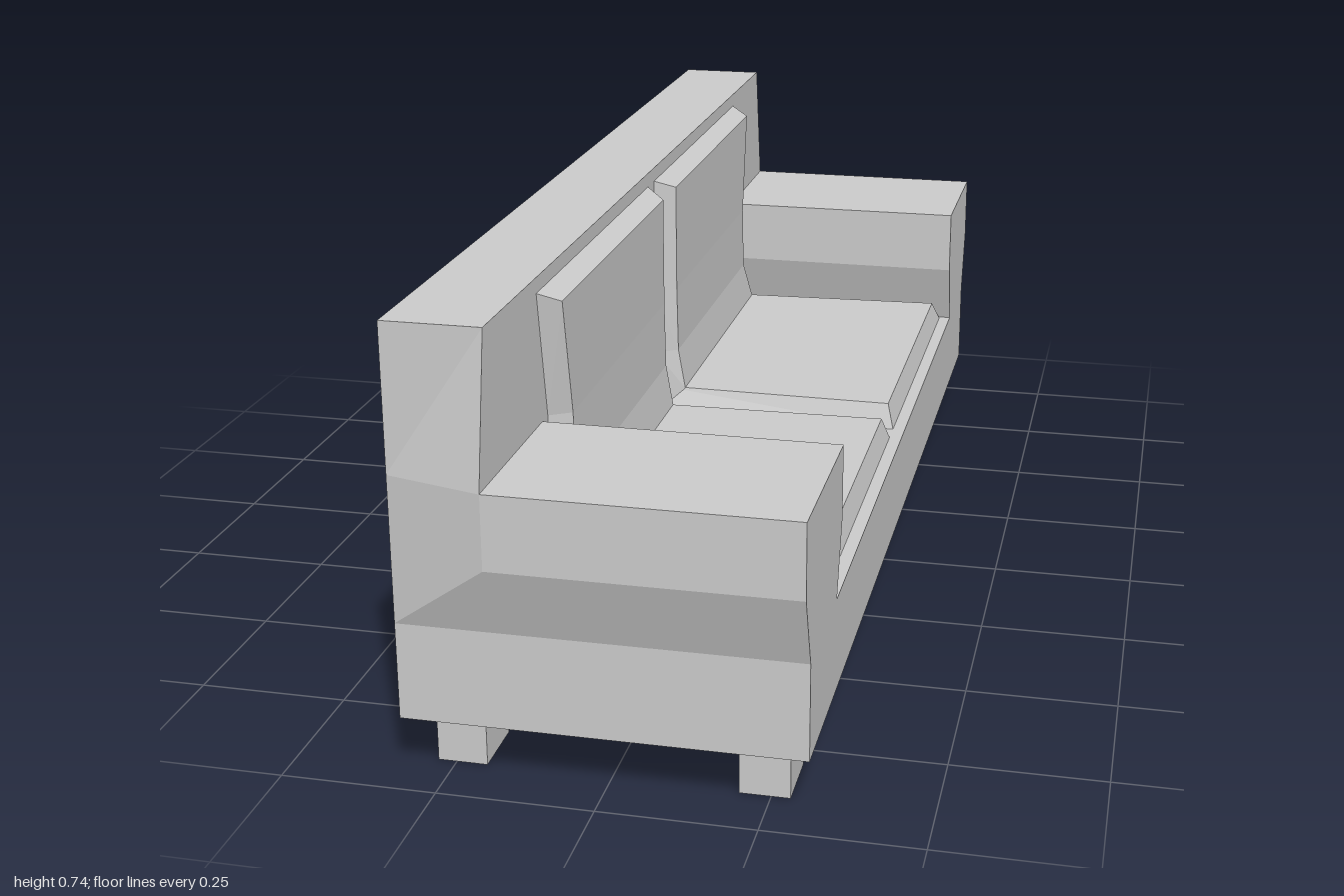
import * as THREE from 'three';

const material = new THREE.MeshStandardMaterial({ color: 0xcccccc, flatShading: true });

function addMesh(parent, geometry, name) {
  const mesh = new THREE.Mesh(geometry, material);
  mesh.name = name;
  parent.add(mesh);
  return mesh;
}

// Extrudes a (z, y) outline, symmetric about z = 0, along x from x0 to x1.
function extrudeAlongX(half, x0, x1) {
  const mirrored = half.map(([z, y]) => [-z, y]).reverse();
  const shape = new THREE.Shape([...half, ...mirrored].map(([z, y]) => new THREE.Vector2(z, y)));
  const geometry = new THREE.ExtrudeGeometry(shape, { depth: x1 - x0, bevelEnabled: false });
  return geometry.rotateY(Math.PI / 2).translate(x0, 0, 0);
}

// Lofts four-cornered rings, listed bottom to top; side = -1 mirrors in z.
function loft(rings, side) {
  const positions = [];
  const triangle = (a, b, c) => {
    for (const [x, y, z] of side > 0 ? [a, b, c] : [a, c, b]) positions.push(x, y, z * side);
  };
  const quad = (a, b, c, d) => { triangle(a, b, c); triangle(a, c, d); };
  for (let r = 0; r + 1 < rings.length; r++) {
    const low = rings[r], high = rings[r + 1];
    for (let i = 0; i < 4; i++) {
      const j = (i + 1) % 4;
      quad(low[i], low[j], high[j], high[i]);
    }
  }
  const [b0, b1, b2, b3] = rings[0];
  quad(b3, b2, b1, b0);
  quad(...rings[rings.length - 1]);
  const geometry = new THREE.BufferGeometry();
  geometry.setAttribute('position', new THREE.Float32BufferAttribute(positions, 3));
  geometry.computeVertexNormals();
  return geometry;
}

// Ring corners: back inner, back outer, front outer, front inner.
function ring(xBack, xFront, yBack, yFront, innerBack, outerBack, outerFront, innerFront) {
  return [
    [xBack, yBack, innerBack], [xBack, yBack, outerBack],
    [xFront, yFront, outerFront], [xFront, yFront, innerFront],
  ];
}

export function createModel() {
  const sofa = new THREE.Group();
  sofa.name = 'sofa';
  const bottom = 0.0975, split = -0.16;

  // Base and both arms share one U-shaped section
  addMesh(sofa, extrudeAlongX([
    [0.957, bottom], [0.957, 0.257], [1, 0.376], [1, 0.497],
    [0.693, 0.497], [0.693, 0.376], [0.733, 0.257],
  ], split, 0.318), 'baseAndArms');

  // Backrest, its ends flattened to a plain rectangle at the rear
  const back = extrudeAlongX([
    [0.957, bottom], [0.957, 0.257], [1, 0.376], [1, 0.497], [0.957, 0.735],
  ], -0.318, split);
  const p = back.attributes.position;
  for (let i = 0; i < p.count; i++) {
    if (p.getX(i) < -0.3) p.setZ(i, THREE.MathUtils.clamp(p.getZ(i), -0.957, 0.957));
  }
  back.computeVertexNormals();
  addMesh(sofa, back, 'backrest');

  for (const side of [1, -1]) {
    const label = side > 0 ? 'Left' : 'Right';

    // Seat cushion with sloping edges
    addMesh(sofa, loft([
      ring(split, 0.296, 0.257, 0.257, 0.022, 0.715, 0.725, 0.022),
      ring(split, 0.283, 0.3, 0.3, 0.05, 0.67, 0.692, 0.042),
    ], side), 'seatCushion' + label);

    // Back cushion, pinched where it passes the arm
    addMesh(sofa, loft([
      ring(split, -0.11, 0.257, 0.299, 0.022, 0.715, 0.672, 0.048),
      ring(split, -0.123, 0.376, 0.376, 0.022, 0.665, 0.643, 0.048),
      ring(split, -0.125, 0.497, 0.497, 0.022, 0.665, 0.643, 0.048),
      ring(split, -0.125, 0.71, 0.694, 0.022, 0.705, 0.685, 0.048),
    ], side), 'backCushion' + label);

    // Feet
    for (const x of [-0.24, 0.24]) {
      const foot = addMesh(sofa, new THREE.BoxGeometry(0.08, bottom, 0.107),
        (x > 0 ? 'frontFoot' : 'rearFoot') + label);
      foot.position.set(x, bottom / 2, side * 0.848);
    }
  }
  return sofa;
}
